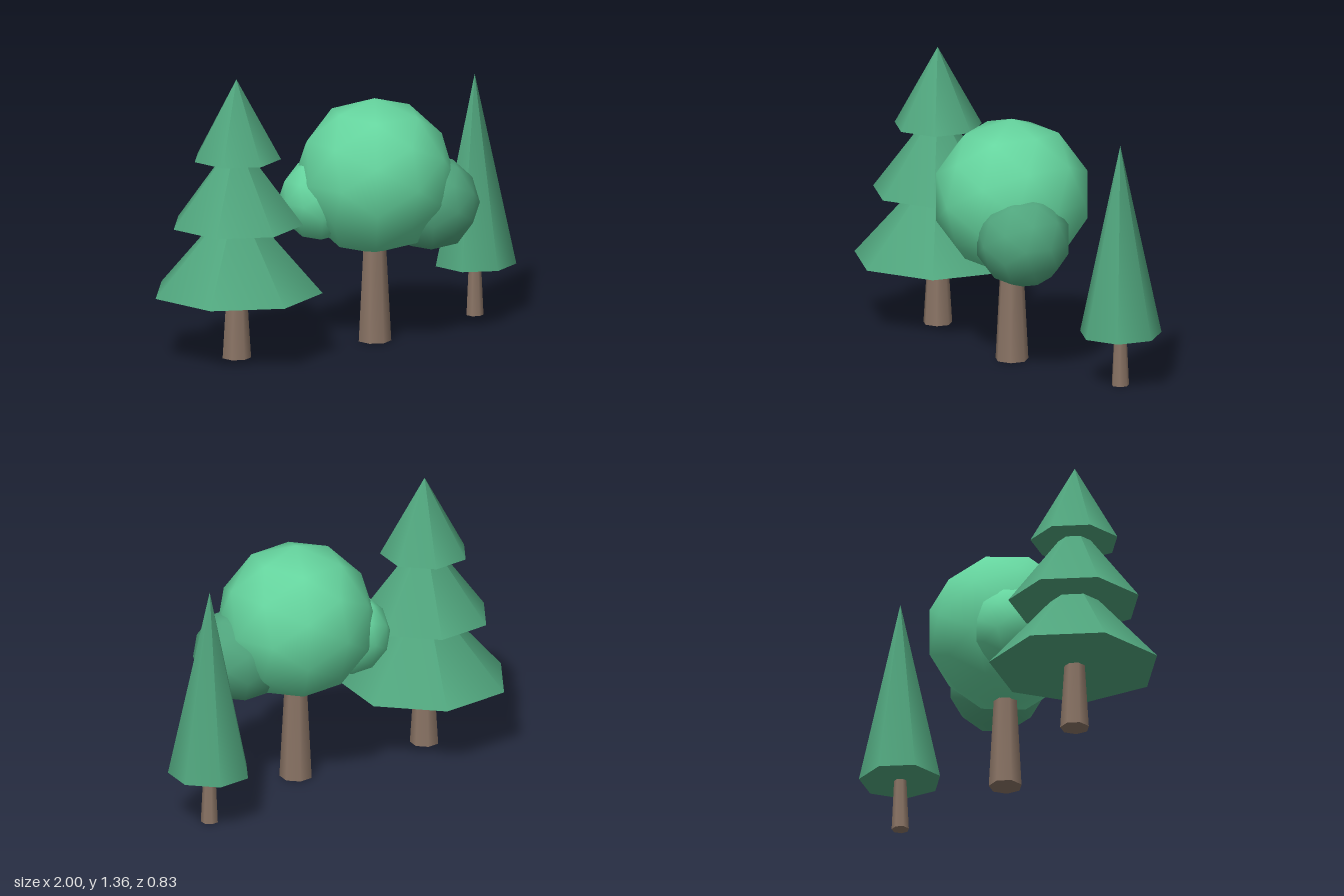
import * as THREE from 'three';

const SIDES = 7;

export function createModel() {
  const material = (name, color) => {
    const m = new THREE.MeshStandardMaterial({ color });
    m.name = name;
    return m;
  };
  const lightLeaf = material('light leaf green', 0x65d49e);
  const darkLeaf = material('dark leaf green', 0x50a57d);
  const bark = material('bark brown', 0x8a7465);

  const add = (group, name, geometry, mat, x, y, z) => {
    const mesh = new THREE.Mesh(geometry, mat);
    mesh.name = name;
    mesh.position.set(x, y, z);
    group.add(mesh);
  };

  // Tapered trunk standing on the ground
  const trunk = (group, bottom, top, height) =>
    add(group, 'trunk', new THREE.CylinderGeometry(top, bottom, height, SIDES), bark, 0, height / 2, 0);

  // Closed cone of foliage from its base height to its tip
  const foliageCone = (group, name, radius, base, tip) =>
    add(group, name, new THREE.ConeGeometry(radius, tip - base, SIDES), darkLeaf, 0, (base + tip) / 2, 0);

  // Rounded clump of leaves with a faceted outline and smooth shading
  const clump = (group, name, radius, mat, x, y, z) =>
    add(group, name, new THREE.IcosahedronGeometry(radius, 1), mat, x, y, z);

  const model = new THREE.Group();
  model.name = 'trees';
  const tree = (name, x, z) => {
    const g = new THREE.Group();
    g.name = name;
    g.position.set(x, 0, z);
    model.add(g);
    return g;
  };

  // Tall fir with three tiers
  const fir = tree('tieredFir', -0.6, -0.05);
  trunk(fir, 0.07, 0.045, 0.4);
  [
    ['lowerTier', 0.41, 0.32, 0.785],
    ['middleTier', 0.318, 0.65, 1.075],
    ['upperTier', 0.212, 0.97, 1.355],
  ].forEach(([name, r, base, tip]) => foliageCone(fir, name, r, base, tip));

  // Round leafy tree with two side clumps
  const round = tree('roundTree', 0.13, 0.037);
  trunk(round, 0.08, 0.051, 0.55);
  clump(round, 'crown', 0.378, lightLeaf, 0, 0.802, 0);
  clump(round, 'frontLeftClump', 0.229, darkLeaf, 0.25, 0.659, 0.113);
  clump(round, 'backRightClump', 0.2, lightLeaf, -0.235, 0.7, -0.107);

  // Slender fir with a single cone
  const slim = tree('slenderFir', 0.805, -0.115);
  trunk(slim, 0.042, 0.028, 0.3);
  foliageCone(slim, 'foliage', 0.198, 0.252, 1.175);

  return model;
}
